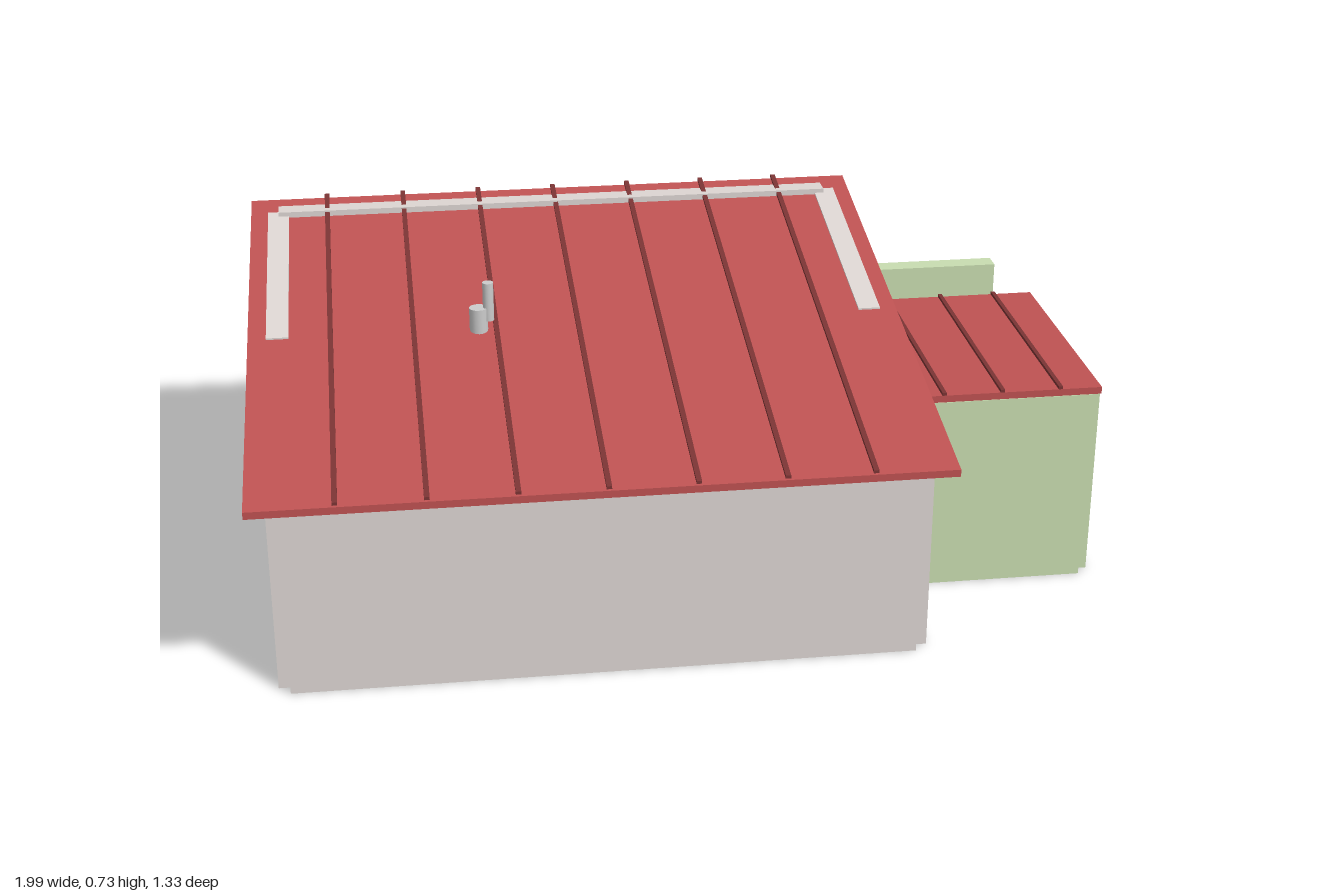
import * as THREE from 'three';

const mat = (color) => new THREE.MeshStandardMaterial({ color });

export function createModel() {
  const model = new THREE.Group();
  const wall = mat(0xdcd5d2), green = mat(0xc8dcb0), red = mat(0xbe5252);
  const rib = mat(0x7a3434), grey = mat(0xcccccc), blue = mat(0x82b0e8);

  const add = (name, geometry, material) => {
    const mesh = new THREE.Mesh(geometry, material);
    mesh.name = name;
    model.add(mesh);
    return mesh;
  };

  // Box given by its limits on each axis
  const box = (name, [x0, x1], [y0, y1], [z0, z1], material) =>
    add(name, new THREE.BoxGeometry(x1 - x0, y1 - y0, z1 - z0)
      .translate((x0 + x1) / 2, (y0 + y1) / 2, (z0 + z1) / 2), material);

  // Side profile of [z, y] points, extruded from x0 to x1
  const profile = (name, points, x0, x1, material) => {
    const shape = new THREE.Shape(points.map(([z, y]) => new THREE.Vector2(z, y)));
    const g = new THREE.ExtrudeGeometry(shape, { depth: x1 - x0, bevelEnabled: false });
    return add(name, g.rotateY(-Math.PI / 2).translate(x1, 0, 0), material);
  };

  // Height of the sloping roof's underside
  const roofY = (z) => 0.579 - 0.178 * z;
  const slopedSlab = (name, low, high, x0, x1, material) => {
    const e = 0.665;
    profile(name, [[e, roofY(e) + low], [e, roofY(e) + high],
      [-e, roofY(-e) + high], [-e, roofY(-e) + low]], x0, x1, material);
  };

  // Main building: front wall and two side walls that follow the roof
  box('frontWall', [-0.93, 0.49], [0, 0.472], [0.57, 0.62], wall);
  const side = [[0.593, 0], [0.593, 0.478], [0, 0.58], [0, roofY(0) + 0.021],
    [-0.593, roofY(-0.593) + 0.021], [-0.593, 0]];
  profile('leftWall', side, 0.467, 0.52, wall);
  profile('rightWall', side, -0.957, -0.904, wall);

  // Back wall around the garage opening
  const backZ = [-0.62, -0.57];
  box('backWallRight', [-0.93, -0.55], [0, 0.712], backZ, wall);
  box('backWallLeft', [0.118, 0.49], [0, 0.712], backZ, wall);
  box('garageLintel', [-0.55, 0.118], [0.565, 0.712], backZ, wall);

  // Garage door with panel seams and a handle
  box('garageDoor', [-0.55, 0.118], [0, 0.565], [-0.617, -0.585], grey);
  for (let i = 1; i < 6; i++) {
    const y = i * 0.095;
    box('garageDoorSeam', [-0.55, 0.118], [y - 0.002, y + 0.002], [-0.62, -0.61], grey);
    box('garageDoorHinge', [-0.55, -0.54], [y - 0.005, y + 0.005], [-0.624, -0.61], grey);
  }
  box('garageDoorHandle', [-0.25, -0.19], [0.09, 0.1], [-0.628, -0.61], grey);

  // Main roof with standing seams
  slopedSlab('mainRoof', 0, 0.017, -1, 0.56, red);
  for (let i = 0; i < 7; i++) {
    const x = -0.806 + i * 0.196;
    slopedSlab('mainRoofSeam', 0.021, 0.028, x - 0.006, x + 0.006, rib);
  }

  // Vent on the roof
  add('ventBase', new THREE.CylinderGeometry(0.022, 0.022, 0.07, 16)
    .translate(-0.455, 0.617, 0), grey);
  add('ventPipe', new THREE.CylinderGeometry(0.013, 0.013, 0.095, 16)
    .translate(-0.431, 0.667, 0), grey);

  // Annex, open at the back
  box('annexFrontWall', [0.52, 0.968], [0, 0.478], [0.26, 0.31], green);
  box('annexSideWall', [0.945, 0.995], [0, 0.478], [-0.283, 0.283], green);
  box('annexRoof', [0.52, 0.99], [0.478, 0.495], [-0.308, 0.308], red);
  for (const x of [0.61, 0.75, 0.89])
    box('annexRoofSeam', [x - 0.005, x + 0.005], [0.495, 0.502], [-0.308, 0.308], rib);

  // Free-standing panel flush with the back wall
  box('backPanel', [0.49, 0.967], [0, 0.475], backZ, green);
  for (const [x0, x1] of [[0.59, 0.7], [0.83, 0.92]]) {
    const z = [-0.622, -0.615], t = 0.006;
    for (const y of [0.18, 0.29]) box('windowFrame', [x0, x1], [y, y + t], z, green);
    for (const x of [x0, x1 - t]) box('windowFrame', [x, x + t], [0.18, 0.29], z, green);
  }
  box('windowPane', [0.585, 0.715], [0.27, 0.345], [-0.624, -0.615], blue);

  return model;
}
